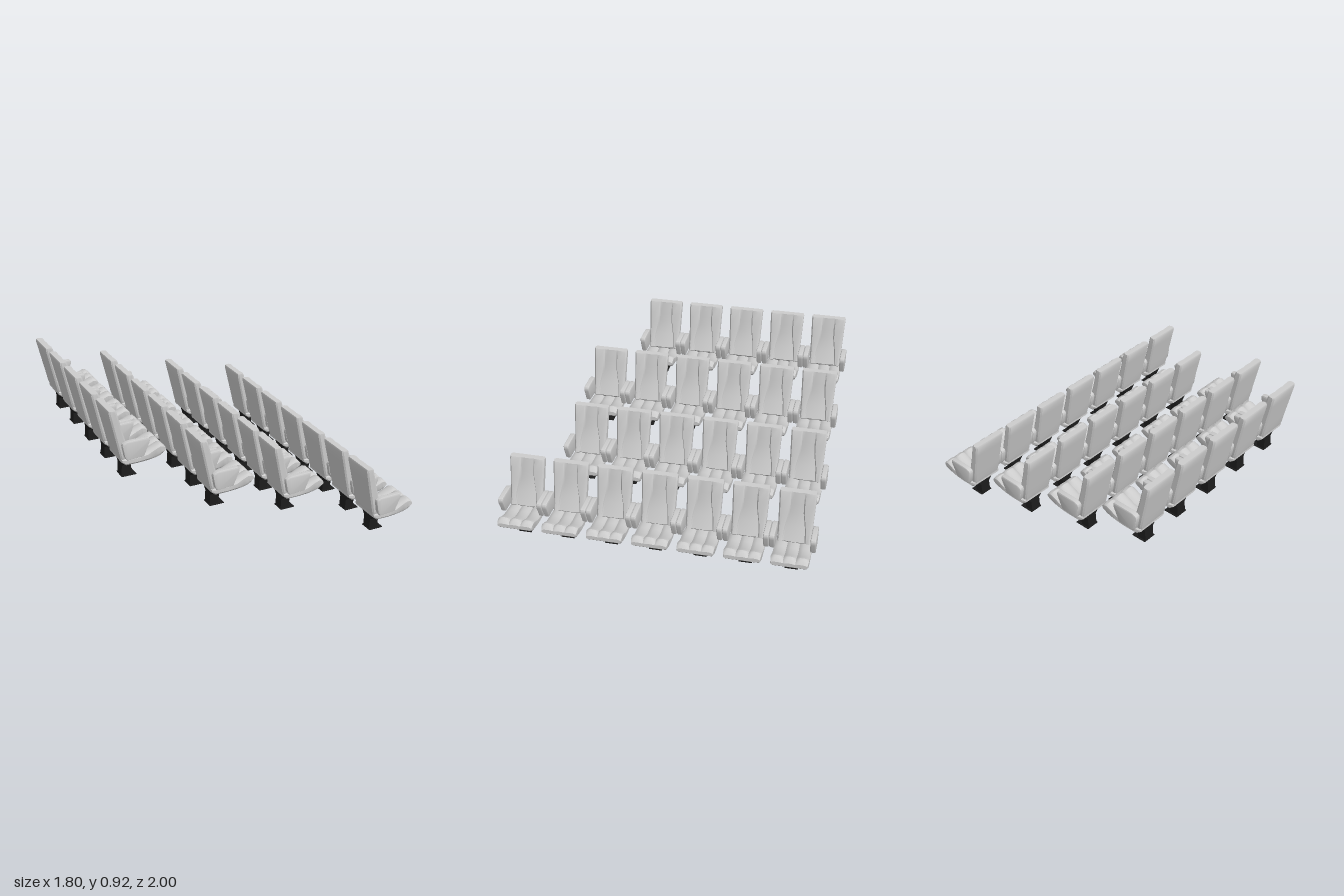
import * as THREE from 'three';
import { toCreasedNormals } from 'three/addons/utils/BufferGeometryUtils.js';

const grey = new THREE.MeshStandardMaterial({ color: 0xcccccc });
const black = new THREE.MeshStandardMaterial({ color: 0x1c1c1c });

// Closed solid through rings of [x, y, z] points, capped at both ends
function loft(rings, crease = 0.6) {
  const n = rings[0].length;
  const pos = rings.flat(2);
  const index = [];
  for (let i = 0; i < rings.length - 1; i++) {
    for (let j = 0; j < n; j++) {
      const a = i * n + j, b = i * n + (j + 1) % n;
      index.push(a, b, b + n, a, b + n, a + n);
    }
  }
  [0, rings.length - 1].forEach((r, end) => {
    const c = pos.length / 3;
    for (let k = 0; k < 3; k++) pos.push(rings[r].reduce((s, p) => s + p[k], 0) / n);
    for (let j = 0; j < n; j++) {
      const a = r * n + j, b = r * n + (j + 1) % n;
      if (end) index.push(a, b, c); else index.push(b, a, c);
    }
  });
  const g = new THREE.BufferGeometry();
  g.setAttribute('position', new THREE.Float32BufferAttribute(pos, 3));
  g.setIndex(index);
  return toCreasedNormals(g, crease);
}

// Cushion with three padded lobes: [x, bottom, top, half width]
function cushionGeometry() {
  const stations = [
    [-0.065, 0.125, 0.15, 0.105], [-0.04, 0.106, 0.155, 0.112], [0.04, 0.108, 0.158, 0.115],
    [0.10, 0.112, 0.167, 0.115], [0.15, 0.119, 0.192, 0.115], [0.18, 0.127, 0.204, 0.115],
    [0.20, 0.138, 0.199, 0.114], [0.217, 0.154, 0.18, 0.11],
  ];
  const N = 18;
  return loft(stations.map(([x, bottom, top, w]) => {
    const ring = [];
    const dip = Math.min(0.014, (top - bottom) * 0.3);
    for (let i = 0; i <= N; i++) {
      const t = -1 + 2 * i / N;
      const lobe = Math.sqrt(Math.abs(Math.sin(1.5 * Math.PI * (t + 1))));
      ring.push([x, top - dip * (1 - lobe), t * w]);
    }
    const rise = (top - bottom) * 0.25;
    ring.push([x, bottom + rise, w], [x, bottom, w * 0.9], [x, bottom, -w * 0.9], [x, bottom + rise, -w]);
    return ring;
  }));
}

// Backrest with side bolsters: [y, back x, front x, half width, recess, panel half width]
function backrestGeometry() {
  const stations = [
    [0.14, -0.066, -0.03, 0.098, 0.005, 0.066], [0.165, -0.074, 0.0, 0.104, 0.012, 0.066],
    [0.25, -0.092, -0.03, 0.106, 0.02, 0.058], [0.34, -0.112, -0.056, 0.109, 0.02, 0.042],
    [0.40, -0.125, -0.07, 0.111, 0.014, 0.04], [0.465, -0.139, -0.087, 0.114, 0.01, 0.041],
    [0.477, -0.136, -0.093, 0.113, 0.006, 0.041],
  ];
  return loft(stations.map(([y, back, front, w, recess, p]) => {
    const half = [
      [w, front - 0.013], [w * 0.92, front - 0.002], [(w + p) / 2 + 0.008, front],
      [p + 0.008, front - 0.004], [p, front - recess], [p * 0.5, front - recess + 0.003],
    ];
    const left = half.map(([z, x]) => [x, y, z]);
    const right = half.map(([z, x]) => [x, y, -z]).reverse();
    return [
      ...left, [front - recess + 0.004, y, 0], ...right,
      [back + 0.01, y, -w], [back, y, -w * 0.93], [back, y, w * 0.93], [back + 0.01, y, w],
    ];
  }));
}

// Armrest panel with bevelled rims
function armGeometry() {
  const b = 0.008;
  const s = new THREE.Shape();
  s.moveTo(-0.04, 0.162);
  s.lineTo(0.058, 0.168);
  s.lineTo(0.094, 0.248);
  s.quadraticCurveTo(0.1, 0.272, 0.088, 0.272);
  s.lineTo(-0.02, 0.27);
  s.quadraticCurveTo(-0.064, 0.268, -0.064, 0.25);
  s.lineTo(-0.052, 0.18);
  const g = new THREE.ExtrudeGeometry(s, {
    depth: 0.018, bevelEnabled: true, bevelThickness: b, bevelSize: b, bevelSegments: 2, curveSegments: 4,
  });
  g.translate(0, 0, -0.009);
  return toCreasedNormals(g, 0.6);
}

// Pedestal flaring out under the cushion: [y, back x, front x, half width]
function pedestalGeometry() {
  const stations = [
    [0.003, -0.046, 0.01, 0.034], [0.075, -0.042, 0.02, 0.034],
    [0.1, -0.042, 0.028, 0.056], [0.118, -0.042, 0.03, 0.056],
  ];
  return loft(stations.map(([y, x0, x1, w]) => [[x1, y, w], [x1, y, -w], [x0, y, -w], [x0, y, w]]), 0.2);
}

export function createModel() {
  const model = new THREE.Group();
  model.name = 'tieredSeating';
  const plate = new THREE.BoxGeometry(0.095, 0.006, 0.084).translate(0.0, 0.003, 0);
  const arm = armGeometry();
  const parts = [
    ['cushion', cushionGeometry(), grey, 0],
    ['backrest', backrestGeometry(), grey, 0],
    ['leftArmrest', arm, grey, -0.125],
    ['rightArmrest', arm, grey, 0.125],
    ['pedestal', pedestalGeometry(), black, 0],
    ['basePlate', plate, black, 0],
  ];

  // Rows from the lowest tier up: x, y, number of seats
  const rows = [[0.68, 0, 7], [0.194, 0.125, 6], [-0.305, 0.275, 6], [-0.76, 0.445, 5]];
  rows.forEach(([x, y, count], r) => {
    const row = new THREE.Group();
    row.name = `row${r + 1}`;
    row.position.set(x, y, 0);
    for (let i = 0; i < count; i++) {
      const seat = new THREE.Group();
      seat.name = `seat${i + 1}`;
      seat.position.z = -0.858 + i * 0.286;
      for (const [name, geometry, material, z] of parts) {
        const mesh = new THREE.Mesh(geometry, material);
        mesh.name = name;
        mesh.position.z = z;
        seat.add(mesh);
      }
      row.add(seat);
    }
    model.add(row);
  });
  return model;
}
